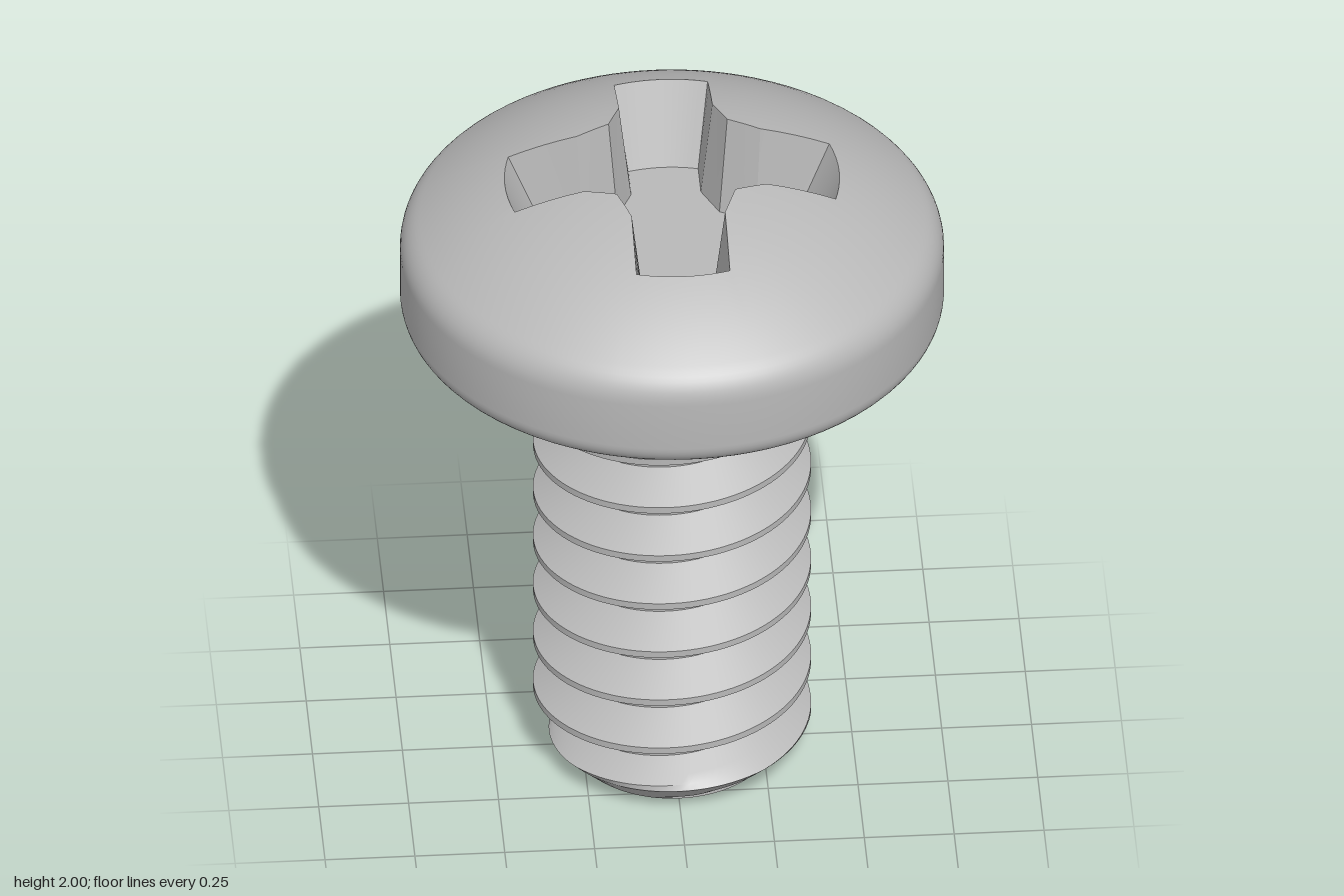
import * as THREE from 'three';
import { toCreasedNormals } from 'three/addons/utils/BufferGeometryUtils.js';

const TAU = Math.PI * 2;
const at = (r, y, a) => new THREE.Vector3(r * Math.cos(a), y, -r * Math.sin(a));

// Skin between rows of points; each row runs counter-clockwise seen from above.
function skin(rows, crease) {
  const cols = rows[0].length, index = [];
  const p = rows.flat();
  const tri = (a, b, c) => {
    const same = (m, n) => p[m].distanceToSquared(p[n]) < 1e-12;
    if (!same(a, b) && !same(b, c) && !same(a, c)) index.push(a, b, c);
  };
  for (let i = 0; i < rows.length - 1; i++) {
    for (let j = 0; j < cols - 1; j++) {
      const a = i * cols + j, c = a + cols;
      tri(a, c, a + 1);
      tri(a + 1, c, c + 1);
    }
  }
  const g = new THREE.BufferGeometry().setFromPoints(p);
  g.setIndex(index);
  return toCreasedNormals(g, crease);
}

// Cross outline as [radius, angle] pairs: four arms with rounded ends and cut inner corners.
function crossOutline(end, half, inner, corner) {
  const out = [], a = Math.asin(half / end);
  const knots = [[end * Math.cos(a), half], [inner, half], [corner, corner], [half, inner], [half, end * Math.cos(a)]];
  for (let q = 0; q < 4; q++) {
    const turn = q * Math.PI / 2;
    for (let i = 0; i < 10; i++) out.push([end, turn - a + 2 * a * i / 10]);
    for (let k = 0; k < 4; k++) {
      for (let i = 0; i < 4; i++) {
        const x = THREE.MathUtils.lerp(knots[k][0], knots[k + 1][0], i / 4);
        const y = THREE.MathUtils.lerp(knots[k][1], knots[k + 1][1], i / 4);
        out.push([Math.hypot(x, y), turn + Math.atan2(y, x)]);
      }
    }
  }
  out.push([out[0][0], out[0][1] + TAU]);
  return out;
}

export function createModel() {
  const group = new THREE.Group();
  const steel = new THREE.MeshStandardMaterial({ color: 0xb8b8b8 });
  steel.name = 'steel';
  const add = (name, geometry) => {
    const mesh = new THREE.Mesh(geometry, steel);
    mesh.name = name;
    group.add(mesh);
  };

  const under = 1.475, headR = 0.755, domeEdge = 0.7, domeR = 1.16, floorY = 1.7;
  const domeY = r => 2.024 - domeR + Math.sqrt(domeR * domeR - r * r);
  const rim = crossOutline(0.465, 0.13, 0.255, 0.165);
  const foot = crossOutline(0.362, 0.097, 0.24, 0.142);

  // Head: dome from the recess rim outwards, rounded shoulder, side and underside
  const rows = [];
  for (let i = 0; i <= 12; i++) {
    rows.push(rim.map(([r, a]) => {
      const s = THREE.MathUtils.lerp(r, domeEdge, i / 12);
      return at(s, domeY(s), a);
    }));
  }
  const ring = (r, y) => rows.push(rim.map(([, a]) => at(r, y, a)));
  const shoulder = new THREE.QuadraticBezierCurve(
    new THREE.Vector2(domeEdge, domeY(domeEdge)), new THREE.Vector2(headR, 1.75), new THREE.Vector2(headR, 1.69));
  shoulder.getPoints(8).slice(1).forEach(p => ring(p.x, p.y));
  for (let i = 0; i <= 10; i++) {
    const a = i / 10 * Math.PI / 2;
    ring(headR - 0.07 + 0.07 * Math.cos(a), under + 0.07 - 0.07 * Math.sin(a));
  }
  ring(0.67, under);
  ring(0.2, under);
  add('head', skin(rows, 0.6));

  // Cross recess: tapered walls and flat floor
  add('recessWalls', skin([
    foot.map(([r, a]) => at(r, floorY, a)),
    rim.map(([r, a]) => at(r, domeY(r), a)),
  ], 0.2));
  const floor = new THREE.Shape(foot.slice(0, -1).map(([r, a]) => new THREE.Vector2(r * Math.cos(a), r * Math.sin(a))));
  add('recessFloor', new THREE.ShapeGeometry(floor).rotateX(-Math.PI / 2).translate(0, floorY, 0));

  // Threaded shank: right-handed helix with flat crests and roots, chamfered at the tip
  const pitch = 0.165, start = 0.12, rootR = 0.28, crestR = 0.386;
  const crestHalf = 0.01, flankEnd = 0.0725, sides = 96;
  const threadR = (y, t) => {
    const turns = (y - start) / pitch - t;
    const d = Math.abs(turns - Math.round(turns)) * pitch;
    const f = THREE.MathUtils.clamp((flankEnd - d) / (flankEnd - crestHalf), 0, 1);
    return Math.min(rootR + f * (crestR - rootR), rootR + y);
  };
  const offsets = [];
  for (let i = 0; i <= 4; i++) offsets.push(THREE.MathUtils.lerp(flankEnd, crestHalf, i / 4));
  offsets.push(...offsets.map(o => -o).reverse());
  const shank = [];
  for (let k = 9; k >= -2; k--) {
    for (const o of offsets) {
      shank.push(Array.from({ length: sides + 1 }, (_, j) => {
        const t = j / sides;
        const y = THREE.MathUtils.clamp(start + pitch * (k + t) + o, 0, under + 0.005);
        return at(threadR(y, t), y, t * TAU);
      }));
    }
  }
  add('threadedShank', skin(shank, 0.5));
  add('shankTip', new THREE.CircleGeometry(rootR, sides).rotateX(Math.PI / 2));

  return group;
}
